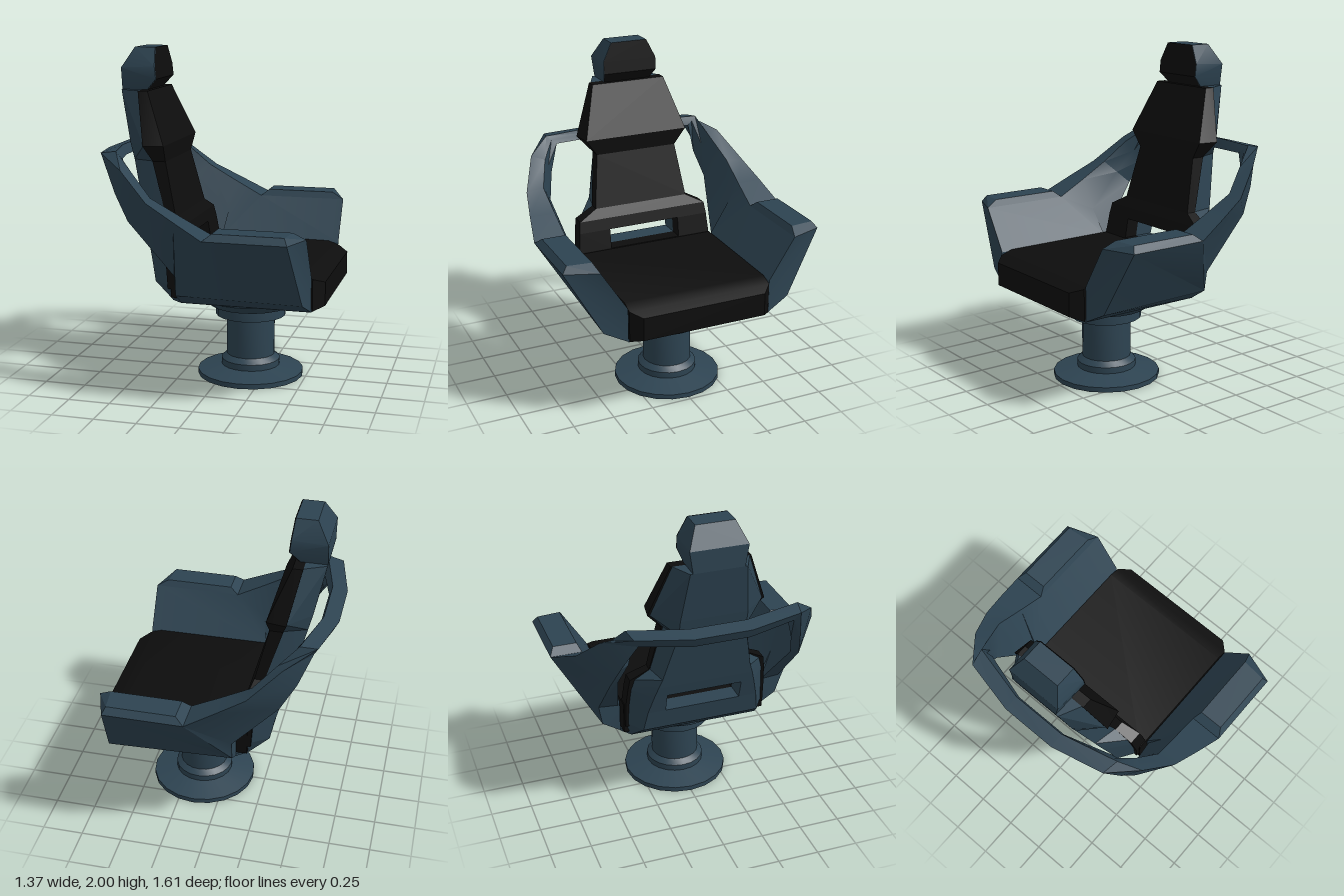
import * as THREE from 'three';
import { toCreasedNormals } from 'three/addons/utils/BufferGeometryUtils.js';
import { ConvexGeometry } from 'three/addons/geometries/ConvexGeometry.js';

export function createModel() {
  const group = new THREE.Group();
  const shell = new THREE.MeshStandardMaterial({ name: 'slateShell', color: 0x2d4351, side: THREE.DoubleSide });
  const cushion = new THREE.MeshStandardMaterial({ name: 'blackCushion', color: 0x0d0d0d, side: THREE.DoubleSide });

  const add = (name, geometry, material) => {
    const mesh = new THREE.Mesh(toCreasedNormals(geometry, 0.45), material);
    mesh.name = name;
    group.add(mesh);
  };
  // convex solid from points
  const hull = (name, pts, material) =>
    add(name, new ConvexGeometry(pts.map(p => new THREE.Vector3(...p))), material);
  // convex solid from points mirrored across z = 0
  const mirroredHull = (name, pts, material) =>
    hull(name, pts.flatMap(([x, y, z]) => [[x, y, z], [x, y, -z]]), material);
  // geometry from a list of triangles
  const fromTriangles = tris => {
    const g = new THREE.BufferGeometry();
    g.setAttribute('position', new THREE.Float32BufferAttribute(tris.flat(2), 3));
    return g;
  };

  // Pedestal: foot, column and flared collar
  const profile = [[0.325, 0], [0.325, 0.03], [0.18, 0.062], [0.18, 0.1], [0.148, 0.13], [0.148, 0.38],
    [0.215, 0.38], [0.215, 0.44], [0.25, 0.445], [0.328, 0.5], [0.328, 0.545]];
  const pedestal = new THREE.LatheGeometry(profile.map(p => new THREE.Vector2(...p)), 20);
  pedestal.translate(0.153, 0, 0);
  add('pedestal', pedestal, shell);

  // Seat pan and cushion
  mirroredHull('seatPan', [[-0.22, 0.543, 0.4], [-0.155, 0.543, 0.45], [0.615, 0.543, 0.45],
    [-0.22, 0.56, 0.4], [-0.155, 0.56, 0.45], [0.615, 0.56, 0.45]], shell);
  mirroredHull('seatCushion', [[-0.22, 0.57, 0.445], [-0.22, 0.765, 0.445], [0.55, 0.76, 0.445],
    [0.62, 0.735, 0.445], [0.62, 0.547, 0.445], [0.682, 0.71, 0.385], [0.682, 0.57, 0.385]], cushion);

  // Wraparound arms: rings of outer top, inner top, inner low, inner bottom, outer bottom
  const mid = (a, b) => a.map((v, i) => (v + b[i]) / 2);
  const ring = (oT, iT, iB, oB, iL = mid(iT, iB)) => [oT, iT, iL, iB, oB];
  const half = [
    ring([0.545, 1, 0.805], [0.613, 1, 0.61], [0.613, 0.545, 0.45], [0.59, 0.615, 0.59], [0.613, 0.75, 0.45]),
    ring([0.07, 1, 0.805], [0.07, 1, 0.61], [-0.155, 0.545, 0.45], [-0.155, 0.615, 0.56], [-0.155, 0.75, 0.45]),
    ring([-0.1, 1.09, 0.77], [-0.1, 1.09, 0.615], [-0.155, 0.725, 0.46], [-0.155, 0.735, 0.58]),
    ring([-0.27, 1.18, 0.73], [-0.28, 1.19, 0.62], [-0.42, 1.05, 0.53], [-0.43, 1.04, 0.58]),
    ring([-0.45, 1.34, 0.635], [-0.41, 1.32, 0.56], [-0.5, 1.2, 0.49], [-0.52, 1.19, 0.54]),
    ring([-0.62, 1.415, 0.49], [-0.52, 1.43, 0.51], [-0.5, 1.38, 0.45], [-0.595, 1.36, 0.46]),
    ring([-0.69, 1.4, 0.17], [-0.6, 1.42, 0.17], [-0.58, 1.36, 0.17], [-0.66, 1.34, 0.17]),
  ];
  const mirrored = half.map(r => r.map(([x, y, z]) => [x, y, -z])).reverse();
  const rings = [...half, ...mirrored];
  const tris = [];
  for (let i = 0; i < rings.length - 1; i++) {
    for (let j = 0; j < 5; j++) {
      const k = (j + 1) % 5;
      const a = rings[i][j], b = rings[i][k], c = rings[i + 1][k], d = rings[i + 1][j];
      tris.push([a, b, c], [a, c, d]);
    }
  }
  const first = rings[0], last = rings[rings.length - 1];
  for (let j = 1; j < 4; j++) {
    tris.push([first[0], first[j + 1], first[j]], [last[0], last[j], last[j + 1]]);
  }
  add('wraparoundArms', fromTriangles(tris), shell);

  // Raised armrest pads
  for (const s of [1, -1]) {
    hull(s > 0 ? 'armrestPadNear' : 'armrestPadFar', [
      [0.07, 1, 0.805], [0.07, 1, 0.61], [0.613, 1, 0.61], [0.545, 1, 0.805],
      [0.12, 1.04, 0.775], [0.12, 1.04, 0.63], [0.54, 1.04, 0.63], [0.525, 1.04, 0.775],
    ].map(([x, y, z]) => [x, y, z * s]), shell);
  }

  // Backrest: levels of y, back x, front x, back half width, front half width
  const shellLevels = [
    [0.545, -0.22, -0.155, 0.4, 0.445], [0.64, -0.34, -0.24, 0.36, 0.425], [0.77, -0.367, -0.25, 0.34, 0.42],
    [0.89, -0.4, -0.27, 0.31, 0.41], [0.96, -0.42, -0.28, 0.29, 0.39], [1.02, -0.435, -0.29, 0.27, 0.3],
    [1.34, -0.517, -0.385, 0.2, 0.25], [1.44, -0.542, -0.415, 0.2, 0.335], [1.75, -0.605, -0.48, 0.165, 0.225]];
  const cushionLevels = [
    [0.62, -0.24, -0.157, 0.44, 0.44], [0.77, -0.25, -0.165, 0.44, 0.44], [0.89, -0.27, -0.185, 0.43, 0.43],
    [0.96, -0.28, -0.2, 0.42, 0.42], [1.02, -0.29, -0.23, 0.305, 0.305], [1.34, -0.385, -0.305, 0.26, 0.26],
    [1.44, -0.415, -0.295, 0.35, 0.33], [1.75, -0.48, -0.42, 0.235, 0.235]];
  const buildBack = (name, levels, material) => {
    for (let i = 0; i < levels.length - 1; i++) {
      const pair = [levels[i], levels[i + 1]];
      if (levels[i][0] === 0.77) {
        // posts either side of the lumbar opening
        for (const s of [1, -1]) {
          hull(name + 'Post', pair.flatMap(([y, xb, xf, wb, wf]) => [
            [xb, y, s * wb], [xf, y, s * wf], [xb, y, s * 0.23], [xf, y, s * 0.23]]), material);
        }
      } else {
        mirroredHull(name, pair.flatMap(([y, xb, xf, wb, wf]) => [[xb, y, wb], [xf, y, wf]]), material);
      }
    }
  };
  buildBack('backrestShell', shellLevels, shell);
  buildBack('backrestCushion', cushionLevels, cushion);

  // Headrest with a thin dark front face
  const face = [[-0.45, 1.75, 0.15], [-0.39, 1.815, 0.17], [-0.398, 1.89, 0.17], [-0.41, 2, 0.115]];
  mirroredHull('headrest', [[-0.605, 1.75, 0.15], [-0.605, 1.88, 0.17], [-0.535, 2, 0.115], ...face], shell);
  const faceTris = [];
  for (let i = 0; i < face.length - 1; i++) {
    const [a, b] = [face[i], face[i + 1]].map(([x, y, z]) => [x + 0.004, y, z]);
    const [c, d] = [b, a].map(([x, y, z]) => [x, y, -z]);
    faceTris.push([a, d, c], [a, c, b]);
  }
  add('headrestFace', fromTriangles(faceTris), cushion);

  return group;
}
